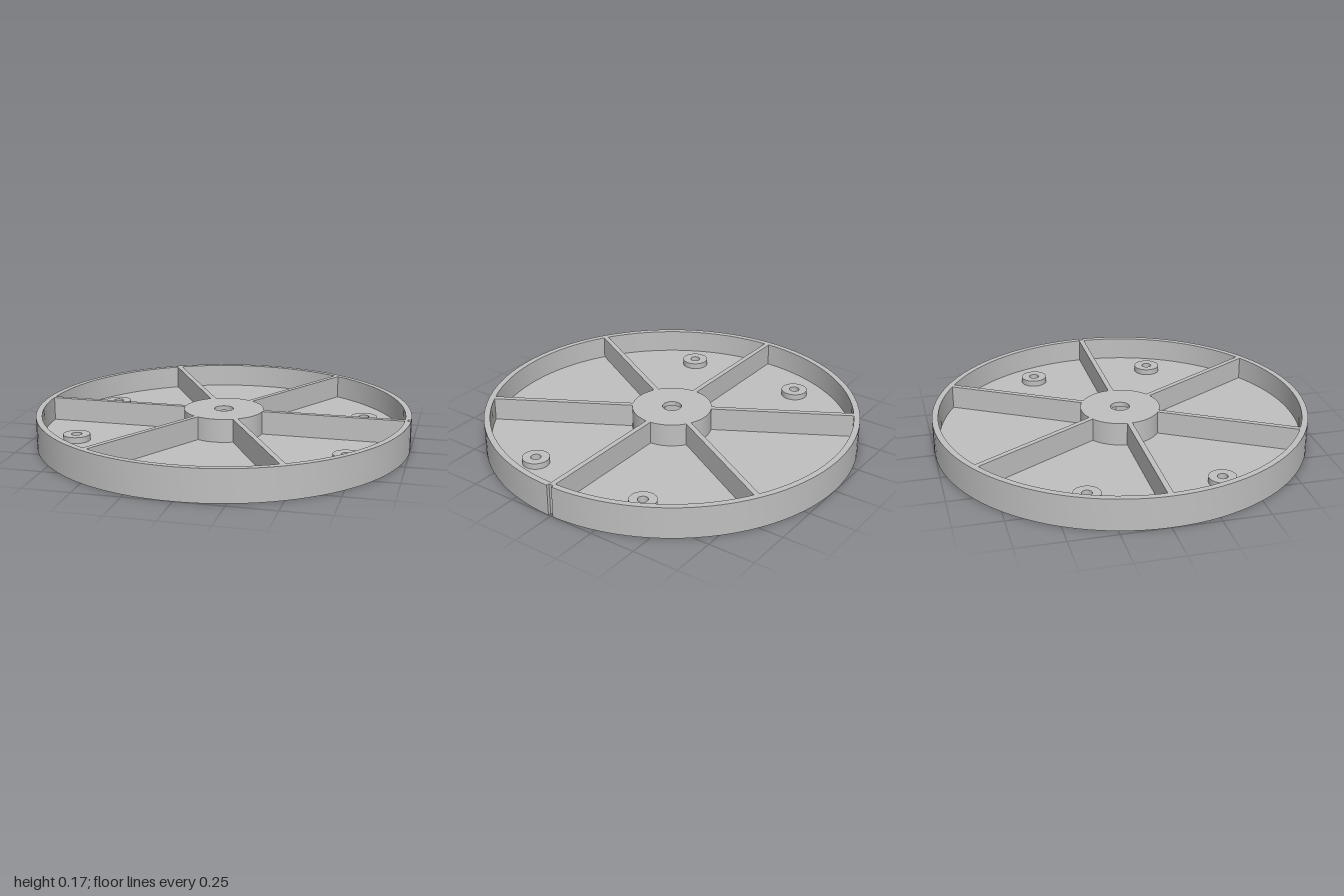
import * as THREE from 'three';
import { toCreasedNormals } from 'three/addons/utils/BufferGeometryUtils.js';

const FLOOR = 0.045, TOP = 0.17, NUT_TOP = 0.145, BOSS_TOP = 0.077;
const HUB_R = 0.213, RIM_INNER = 0.968, RIB_W = 0.028;
const NOTCH_X = 0.983, NOTCH_HALF = 0.014;
const BOSSES = [[1, 1], [1, -1], [-1, 1], [-1, -1]].map(([i, j]) => [i * 0.715, j * 0.343]);

const circle = (r, x = 0, y = 0, Type = THREE.Path) => new Type().absarc(x, y, r, 0, Math.PI * 2, false);

// Hexagonal nut pocket outline, corners on the x axis
function hexagon(r) {
  const points = [];
  for (let i = 0; i < 6; i++) {
    points.push(new THREE.Vector2(r * Math.cos(i * Math.PI / 3), r * Math.sin(i * Math.PI / 3)));
  }
  return new THREE.Path(points).closePath();
}

// Outer disc outline with a small notch on +x
function notchedDisc() {
  const a = Math.asin(NOTCH_HALF);
  const s = new THREE.Shape();
  s.absarc(0, 0, 1, a, Math.PI * 2 - a, false);
  s.lineTo(NOTCH_X, -NOTCH_HALF);
  s.lineTo(NOTCH_X, NOTCH_HALF);
  s.closePath();
  return s;
}

export function createModel() {
  const group = new THREE.Group();
  const grey = new THREE.MeshStandardMaterial({ color: 0xc0c0c0 });
  grey.name = 'grey';

  const add = (name, geometry) => {
    const mesh = new THREE.Mesh(geometry, grey);
    mesh.name = name;
    group.add(mesh);
    return mesh;
  };

  // Upright layer of a plan outline between two heights
  const layer = (name, shape, holes, y0, y1, curveSegments = 48) => {
    shape.holes.push(...holes);
    const g = new THREE.ExtrudeGeometry(shape, { depth: y1 - y0, bevelEnabled: false, curveSegments });
    g.rotateX(-Math.PI / 2);
    g.translate(0, y0, 0);
    return add(name, toCreasedNormals(g, 0.5));
  };

  // Floor plate with nut pocket and four screw holes
  const screwHoles = BOSSES.map(([x, y]) => circle(0.027, x, y));
  layer('floorPlate', notchedDisc(), [hexagon(0.093), ...screwHoles], 0, FLOOR);

  // Outer wall
  layer('rim', notchedDisc(), [circle(RIM_INNER)], FLOOR, TOP);

  // Hub: hexagonal pocket below, round shaft hole in its cap
  layer('hubWall', circle(HUB_R, 0, 0, THREE.Shape), [hexagon(0.093)], FLOOR, NUT_TOP, 32);
  layer('hubCap', circle(HUB_R, 0, 0, THREE.Shape), [circle(0.051)], NUT_TOP, TOP, 32);

  // Screw bosses
  for (const [x, y] of BOSSES) {
    layer('screwBoss', circle(0.071, x, y, THREE.Shape), [circle(0.027, x, y)], FLOOR, BOSS_TOP, 24);
  }

  // Six ribs from hub to rim
  const start = HUB_R - 0.01, end = RIM_INNER + 0.005;
  for (let i = 0; i < 6; i++) {
    const g = new THREE.BoxGeometry(end - start, TOP - FLOOR, RIB_W);
    g.translate((start + end) / 2, (TOP + FLOOR) / 2, 0);
    add('rib', g).rotation.y = i * Math.PI / 3;
  }

  return group;
}
